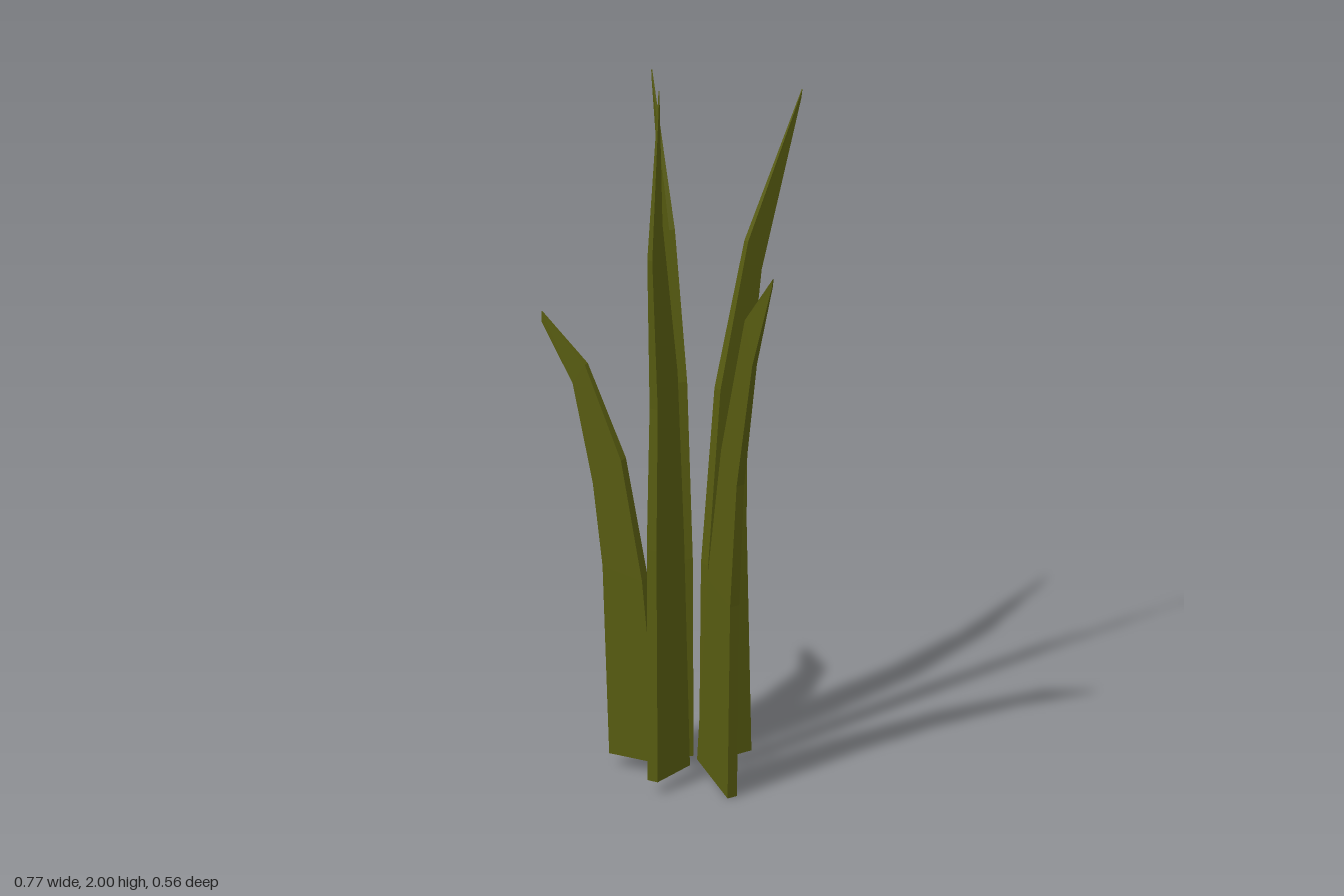
import * as THREE from 'three';

// thickness of a blade at each of its five sections, base to tip
const THICKNESS = [0.032, 0.031, 0.026, 0.016, 0.003];

// Tall blade leaning outward; points are [distance out, height, sideways shift]
const TALL_INNER = [[0, 0.04], [0.006, 0.6], [0.05, 1.09], [0.148, 1.49], [0.338, 1.88]];
const TALL_OUTER = [[0.153, 0.04], [0.137, 0.7], [0.143, 1.03], [0.194, 1.4], [0.334, 1.855]];

// base = middle of the inner foot [x, z], dir = outward direction [x, z]
const BLADES = [
  { name: 'backBlade', base: [0.026, 0.057], dir: [0, -1], inner: TALL_INNER, outer: TALL_OUTER },
  { name: 'backRightBlade', base: [-0.027, 0.066], dir: [-0.93, -0.366], inner: TALL_INNER, outer: TALL_OUTER },
  {
    name: 'frontRightBlade', base: [-0.035, 0.146], dir: [-0.935, 0.355],
    inner: [[0, 0.04], [0.055, 0.55], [0.122, 0.88], [0.238, 1.13], [0.377, 1.255]],
    outer: [[0.157, 0.04], [0.178, 0.57], [0.21, 0.8], [0.276, 1.07], [0.377, 1.225]],
  },
  {
    name: 'frontBlade', base: [0.015, 0.109], dir: [0.32, 0.947],
    inner: [[0, 0.04], [0.028, 0.7], [0.056, 1.18], [0.122, 1.62], [0.127, 2]],
    outer: [[0.158, 0.04], [0.163, 0.7], [0.153, 1.1], [0.172, 1.53], [0.13, 1.97]],
  },
  {
    name: 'leftBlade', base: [0.07, 0.1], dir: [1, 0],
    inner: [[0, 0.07, -0.005], [0.044, 0.6, -0.005], [0.1, 0.98, -0.005], [0.2, 1.38, -0.002], [0.316, 1.53]],
    outer: [[0.15, 0.005, 0.009], [0.154, 0.55, 0.004], [0.175, 0.9, 0.001], [0.235, 1.26], [0.312, 1.505]],
  },
];

// Four-sided blade lofted through its sections, with flat faces
function bladeGeometry({ base, dir, inner, outer }) {
  const [dx, dz] = dir;
  const positions = [];
  const index = [];
  const corner = ([out, y, shift = 0], side) => {
    const q = shift + side;
    positions.push(base[0] + dx * out - dz * q, y, base[1] + dz * out + dx * q);
  };
  THICKNESS.forEach((t, i) => {
    corner(inner[i], -t / 2);
    corner(outer[i], -t / 2);
    corner(outer[i], t / 2);
    corner(inner[i], t / 2);
  });
  const last = (THICKNESS.length - 1) * 4;
  for (let row = 0; row < last; row += 4) {
    for (let k = 0; k < 4; k++) {
      const a = row + k, b = row + (k + 1) % 4;
      index.push(a, a + 4, b, b, a + 4, b + 4);
    }
  }
  // foot and tip
  index.push(0, 1, 2, 0, 2, 3);
  index.push(last, last + 2, last + 1, last, last + 3, last + 2);

  const geometry = new THREE.BufferGeometry();
  geometry.setAttribute('position', new THREE.Float32BufferAttribute(positions, 3));
  geometry.setIndex(index);
  const flat = geometry.toNonIndexed();
  flat.computeVertexNormals();
  return flat;
}

export function createModel() {
  const group = new THREE.Group();
  group.name = 'grassTuft';
  const olive = new THREE.MeshStandardMaterial({ color: 0x565a10 });
  olive.name = 'olive green';
  for (const blade of BLADES) {
    const mesh = new THREE.Mesh(bladeGeometry(blade), olive);
    mesh.name = blade.name;
    group.add(mesh);
  }
  return group;
}
